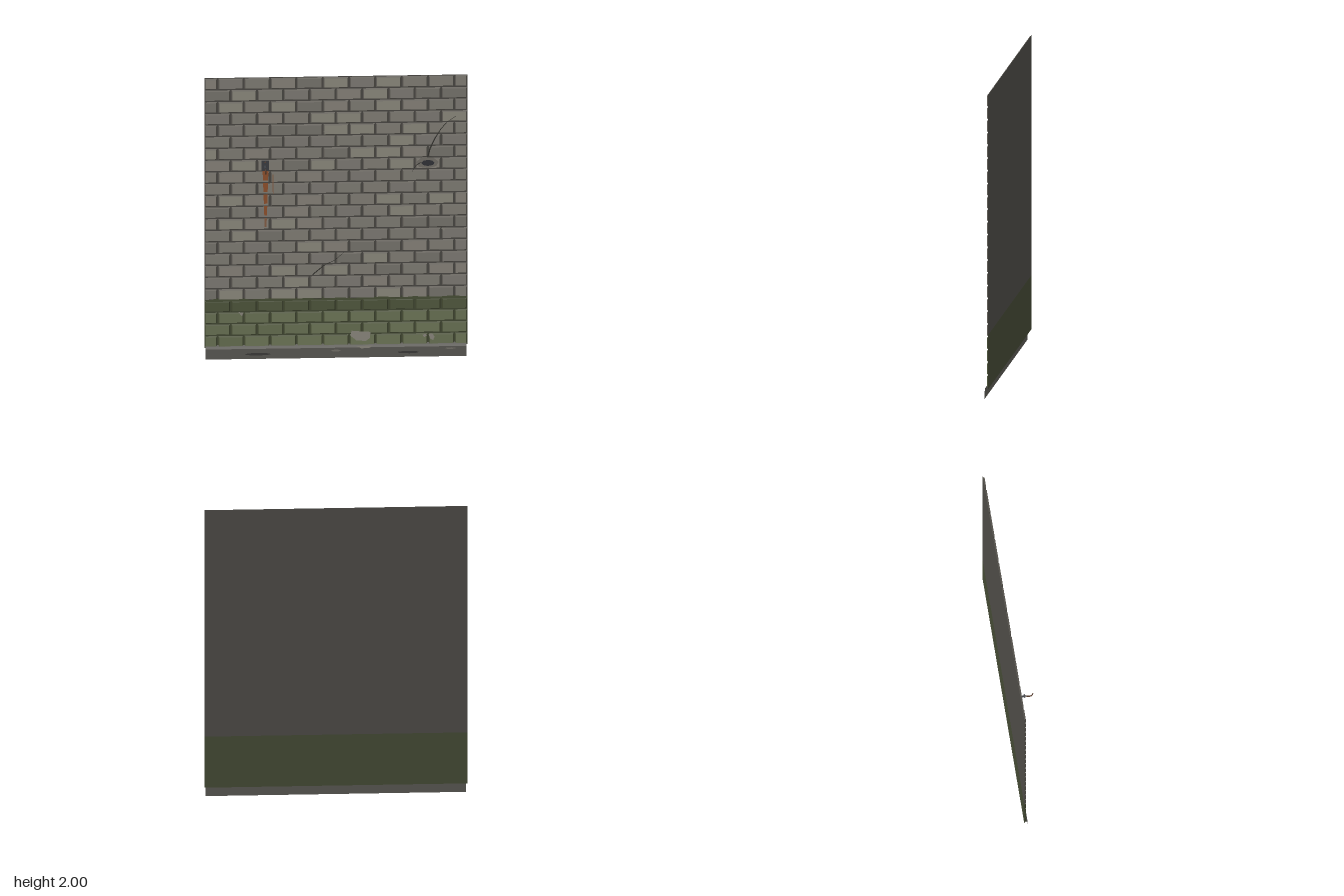
import * as THREE from 'three';

const paint = (color, side = THREE.FrontSide) => new THREE.MeshStandardMaterial({ color, side });
const W = 1.68, BOTTOM = 0.075, TOP = 2, ROWS = 23, COLS = 10;
const ROW_H = (TOP - BOTTOM) / ROWS, COL_W = W / COLS;
const BACK_Z = -0.06, FACE_Z = -0.049, MOSS_Y = BOTTOM + ROW_H * 4 + 0.015;

function seeded(seed) {
  return () => {
    seed = (seed * 16807) % 2147483647;
    return seed / 2147483647;
  };
}

function add(parent, name, geometry, material, x = 0, y = 0, z = 0) {
  const mesh = new THREE.Mesh(geometry, material);
  mesh.name = name;
  mesh.position.set(x, y, z);
  parent.add(mesh);
  return mesh;
}

// Brick with a bevelled front: the front corners are pulled inwards
function brickGeometry(w, h) {
  const d = FACE_Z - BACK_Z - 0.001, bevel = 0.006;
  const geo = new THREE.BoxGeometry(w, h, d);
  const p = geo.attributes.position;
  for (let i = 0; i < p.count; i++) {
    if (p.getZ(i) > 0) {
      p.setX(i, p.getX(i) - Math.sign(p.getX(i)) * bevel);
      p.setY(i, p.getY(i) - Math.sign(p.getY(i)) * bevel);
    }
  }
  geo.computeVertexNormals();
  return geo;
}

// Flat outline from x, y pairs
function patch(points) {
  return new THREE.ShapeGeometry(new THREE.Shape(points.map(([x, y]) => new THREE.Vector2(x, y))));
}

// Thin crack that tapers along a line of points
function crack(points, width) {
  const edge = (sign) => points.map(([x, y], i) => {
    const t = 1 - i / (points.length - 1);
    return [x + sign * width * (0.25 + 0.75 * t), y - sign * width * (0.25 + 0.75 * t) * 0.6];
  });
  return patch([...edge(1), ...edge(-1).reverse()]);
}

function buildBricks() {
  const group = new THREE.Group();
  group.name = 'bricks';
  const rand = seeded(41);
  const stone = [0x88857b, 0x84817a, 0x8d897f, 0x7d7a72, 0x86837a, 0x939083].map((c) => paint(c));
  const moss = [0x6f7858, 0x6b7454, 0x747d5c].map((c) => paint(c));
  const damp = [paint(0x565e42), paint(0x525a3f)];
  const stoneEdge = paint(0x605d56), mossEdge = paint(0x4c5339), dampEdge = paint(0x41472f);
  const gap = 0.009;
  const full = brickGeometry(COL_W - gap, ROW_H - gap);
  const half = brickGeometry(COL_W / 2 - gap, ROW_H - gap);

  for (let r = 0; r < ROWS; r++) {
    const faces = r < 3 ? moss : r === 3 ? damp : stone;
    const edge = r < 3 ? mossEdge : r === 3 ? dampEdge : stoneEdge;
    const offset = r % 2 === 0;
    const y = BOTTOM + ROW_H * (r + 0.5);
    const count = offset ? COLS + 1 : COLS;
    for (let c = 0; c < count; c++) {
      const isHalf = offset && (c === 0 || c === COLS);
      let x = -W / 2 + COL_W * (offset ? c : c + 0.5);
      if (isHalf) x += (c === 0 ? 1 : -1) * COL_W / 4;
      const face = faces[Math.floor(rand() * faces.length)];
      add(group, 'brick', isHalf ? half : full, [edge, edge, edge, edge, face, edge],
        x, y, (FACE_Z + BACK_Z + 0.001) / 2);
    }
  }
  return group;
}

function buildSkirting() {
  const group = new THREE.Group();
  group.name = 'skirting';
  // Open strip bent along a z, y profile
  const profile = [[-0.058, 0.09], [-0.046, 0.084], [-0.037, 0.07], [-0.034, 0]];
  const geo = new THREE.PlaneGeometry(1.665, 1, 1, profile.length - 1);
  const p = geo.attributes.position;
  for (let i = 0; i < p.count; i++) {
    const [z, y] = profile[Math.floor(i / 2)];
    p.setY(i, y);
    p.setZ(i, z);
  }
  const flat = geo.toNonIndexed();
  flat.computeVertexNormals();
  add(group, 'skirtingBoard', flat, paint(0x5c5a55, THREE.DoubleSide));

  // Scuffs and chips on its face
  const dark = paint(0x3e3d3c), light = paint(0x77756d);
  [[-0.5, 0.034, 0.085, 0.009, dark], [0.46, 0.034, 0.07, 0.009, dark],
    [0, 0.052, 0.032, 0.007, light], [0.73, 0.058, 0.035, 0.006, light]].forEach(([x, y, rx, ry, mat]) => {
    add(group, 'scuff', new THREE.CircleGeometry(1, 9), mat, x, y, -0.0325).scale.set(rx, ry, 1);
  });
  return group;
}

function buildDamage() {
  const group = new THREE.Group();
  group.name = 'wallDamage';
  const dark = paint(0x34332f, THREE.DoubleSide), pale = paint(0x918e83, THREE.DoubleSide);
  const z = FACE_Z + 0.0015;

  // Cracks
  add(group, 'upperCrack', crack([[0.585, 1.42], [0.6, 1.48], [0.63, 1.55], [0.67, 1.62], [0.71, 1.67], [0.765, 1.71]], 0.004), dark, 0, 0, z);
  add(group, 'sideCrack', crack([[0.545, 1.385], [0.51, 1.36], [0.485, 1.315]], 0.003), dark, 0, 0, z);
  add(group, 'lowerCrack', crack([[-0.15, 0.59], [-0.1, 0.635], [-0.07, 0.66], [-0.01, 0.69], [0.05, 0.745]], 0.0035), dark, 0, 0, z);

  // Hole with a broken rim
  add(group, 'holeRim', patch([[0.51, 1.385], [0.53, 1.35], [0.59, 1.34], [0.64, 1.355], [0.655, 1.385], [0.62, 1.415], [0.55, 1.42]]), paint(0x77746c), 0, 0, z);
  add(group, 'hole', new THREE.CircleGeometry(1, 8), paint(0x34353b), 0.587, 1.378, z + 0.0015).scale.set(0.042, 0.022, 1);

  // Chipped spots
  const chips = [
    [[0.09, 0.15], [0.1, 0.185], [0.15, 0.18], [0.22, 0.175], [0.215, 0.13], [0.19, 0.11], [0.13, 0.115]],
    [[0.13, 0.08], [0.16, 0.065], [0.21, 0.065], [0.235, 0.085]],
    [[0.55, 0.15], [0.565, 0.13], [0.58, 0.145], [0.575, 0.155]],
    [[0.6, 0.12], [0.62, 0.11], [0.63, 0.135], [0.615, 0.155], [0.59, 0.155]],
    [[-0.625, 0.33], [-0.6, 0.3], [-0.59, 0.325]],
    [[-0.33, 0.575], [-0.315, 0.545], [-0.295, 0.565]],
    [[0.67, 0.91], [0.69, 0.89], [0.695, 0.905]],
    [[-0.08, 1.615], [-0.06, 1.6], [-0.04, 1.615]],
  ];
  chips.forEach((points, i) => add(group, 'chip', patch(points), pale, 0, 0, i === 1 ? -0.034 : z));
  return group;
}

function buildHook() {
  const group = new THREE.Group();
  group.name = 'wallHook';
  group.position.set(-0.452, 1.375, 0);
  const iron = paint(0x3d4045), rusty = paint(0x5b4030);

  add(group, 'mountingPlate', new THREE.BoxGeometry(0.05, 0.072, 0.007), iron, 0, 0, -0.0455);
  [-0.026, 0.026].forEach((y) => {
    add(group, 'plateBolt', new THREE.SphereGeometry(0.005, 8, 6), rusty, 0, y, -0.042);
  });
  add(group, 'stem', new THREE.CylinderGeometry(0.006, 0.008, 0.048, 8), iron, 0, -0.003, -0.02).rotation.x = Math.PI / 2;
  add(group, 'collar', new THREE.CylinderGeometry(0.011, 0.011, 0.009, 10), iron, 0, 0, 0.004).rotation.x = Math.PI / 2;

  // Upturned hook
  const path = new THREE.CatmullRomCurve3([[-0.002, 0], [0.012, -0.004], [0.024, -0.015], [0.037, -0.018],
    [0.049, -0.009], [0.055, 0.008], [0.056, 0.018]].map(([z, y]) => new THREE.Vector3(0, y, z)));
  add(group, 'hook', new THREE.TubeGeometry(path, 20, 0.004, 8), rusty);
  add(group, 'hookTip', new THREE.SphereGeometry(0.0042, 8, 6), rusty, 0, 0.018, 0.0558);
  return group;
}

function buildRust() {
  const group = new THREE.Group();
  group.name = 'rustStreaks';
  const rust = paint(0x96552f), faded = paint(0x8a6248);
  const z = FACE_Z + 0.001;
  // Broken by the joints, narrowing downwards
  for (let i = 0; i < 5; i++) {
    const top = 1.335 - i * ROW_H, w = 0.02 - i * 0.003;
    add(group, 'mainStreak', patch([[-w, top], [-w * 0.75, top - 0.066], [w * 0.75, top - 0.066], [w, top]]), i < 4 ? rust : faded, -0.45, 0, z);
  }
  add(group, 'thinStreak', patch([[-0.004, 1.31], [-0.002, 1.17], [0.002, 1.17], [0.004, 1.31]]), faded, -0.402, 0, z);
  return group;
}

export function createModel() {
  const model = new THREE.Group();
  model.name = 'brickWall';

  // Mortar sheets behind the bricks, mossy at the foot
  const sheet = (name, y0, y1, color) => add(model, name, new THREE.PlaneGeometry(W, y1 - y0),
    paint(color, THREE.DoubleSide), 0, (y0 + y1) / 2, BACK_Z);
  sheet('mortar', MOSS_Y, TOP, 0x4e4c47);
  sheet('mossyMortar', BOTTOM - 0.005, MOSS_Y, 0x454b35);

  // Uneven upper edge of the moss
  const rand = seeded(7);
  const fringe = [[-W / 2 + 0.01, MOSS_Y - 0.02]];
  for (let i = 0; i <= 30; i++) fringe.push([-W / 2 + 0.01 + i * (W - 0.02) / 30, MOSS_Y - 0.013 + rand() * 0.015]);
  fringe.push([W / 2 - 0.01, MOSS_Y - 0.02]);
  add(model, 'mossFringe', patch(fringe.reverse()), paint(0x4c5339), 0, 0, FACE_Z + 0.0005);

  model.add(buildBricks(), buildSkirting(), buildDamage(), buildRust(), buildHook());
  return model;
}
